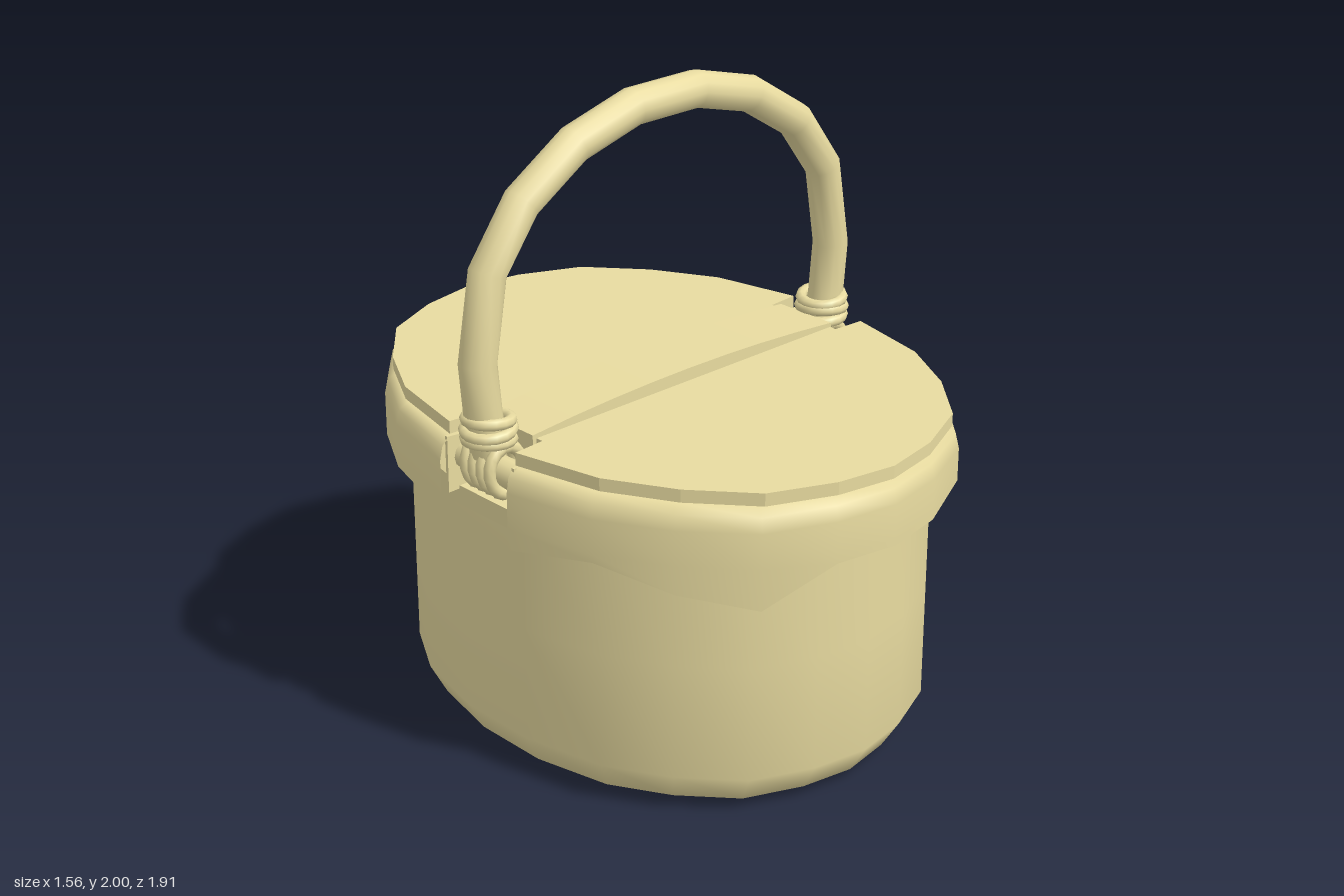
import * as THREE from 'three';

const mat = new THREE.MeshStandardMaterial({ color: 0xe8dba0, side: THREE.DoubleSide });

// Oval plan outline: one quadrant, mirrored to a full loop (front centre, then towards +x)
const quarter = [[0, 0.955], [0.2, 0.92], [0.41, 0.83], [0.57, 0.65], [0.69, 0.44], [0.755, 0.15]];
const half = [...quarter, ...quarter.slice().reverse().map(([x, z]) => [x, -z])];
const plan = [...half, ...half.slice(1, -1).reverse().map(([x, z]) => [-x, z])];
const NOTCH = [5, 16]; // columns at the handle sockets

// Cloth hem height at each plan point
const hem = [0.84, 0.84, 0.865, 0.84, 0.72, 0.785, 0.785, 0.81, 0.84, 0.825, 0.85,
  0.85, 0.73, 0.8, 0.83, 0.83, 0.8, 0.79, 0.835, 0.77, 0.73, 0.84];

function add(group, name, geometry, x = 0, y = 0, z = 0) {
  const mesh = new THREE.Mesh(geometry, mat);
  mesh.name = name;
  mesh.position.set(x, y, z);
  group.add(mesh);
  return mesh;
}

// Skin a grid of points; skip(row, column) leaves holes
function skin(rows, closed, skip = () => false) {
  const n = rows[0].length, index = [];
  for (let i = 0; i < rows.length - 1; i++) {
    for (let j = 0; j < (closed ? n : n - 1); j++) {
      if (skip(i, j)) continue;
      const k = (j + 1) % n;
      const a = i * n + j, b = i * n + k, c = a + n, d = b + n;
      index.push(a, c, d, a, d, b);
    }
  }
  const g = new THREE.BufferGeometry();
  g.setAttribute('position', new THREE.Float32BufferAttribute(rows.flat(2), 3));
  g.setIndex(index);
  g.computeVertexNormals();
  return g;
}

const ring = (s, y) => plan.map(([x, z], j) => [x * s, typeof y === 'number' ? y : y[j], z * s]);

// Round tube along an arch lying in the xy plane
function archTube(points, radius, sides) {
  const rows = points.map(([x, y], i) => {
    const p = points[Math.max(i - 1, 0)], q = points[Math.min(i + 1, points.length - 1)];
    const len = Math.hypot(q[0] - p[0], q[1] - p[1]);
    const nx = -(q[1] - p[1]) / len, ny = (q[0] - p[0]) / len;
    return Array.from({ length: sides }, (_, k) => {
      const t = (k / sides) * Math.PI * 2, c = Math.cos(t) * radius;
      return [x + nx * c, y + ny * c, -Math.sin(t) * radius];
    });
  });
  return skin(rows, true);
}

// One handle socket on the +x side: recess, pin and rope lashing
function socket() {
  const g = new THREE.Group();
  g.name = 'handleSocket';
  add(g, 'recessBack', new THREE.BoxGeometry(0.02, 0.18, 0.3), 0.59, 0.95, 0);
  add(g, 'recessFloor', new THREE.BoxGeometry(0.1, 0.02, 0.3), 0.64, 0.86, 0);
  for (const s of [-1, 1]) {
    add(g, 'recessCheek', new THREE.BoxGeometry(0.14, 0.18, 0.01), 0.66, 0.95, s * 0.15);
  }
  add(g, 'pin', new THREE.CylinderGeometry(0.045, 0.045, 0.3, 12).rotateX(Math.PI / 2), 0.66, 0.965, 0);
  // Loops around the pin
  for (const z of [-0.054, -0.018, 0.018, 0.054]) {
    const loop = add(g, 'ropeLoop', new THREE.TorusGeometry(0.062, 0.018, 8, 16), 0.675, 0.985, z);
    loop.scale.y = 1.2;
    loop.rotation.z = -0.15;
  }
  // Coils around the foot of the handle
  [[1.075, 0.06, 0.068], [1.105, -0.08, 0.07], [1.135, 0.1, 0.066]].forEach(([y, tilt, r]) => {
    const coil = add(g, 'ropeCoil', new THREE.TorusGeometry(r, 0.018, 8, 16).rotateX(Math.PI / 2), 0.692, y, 0);
    coil.rotation.set(tilt * 0.6, 0, tilt);
  });
  return g;
}

export function createModel() {
  const model = new THREE.Group();
  model.name = 'basket';

  // Oval tub with a bevelled foot
  const tub = [[0.912, 0.87], [0.912, 0.5], [0.912, 0.13], [0.85, 0.035], [0.768, 0.002], [0.74, 0], [0, 0]];
  add(model, 'body', skin(tub.map(([s, y]) => ring(s, y)), true));

  // Cloth lining folded over the rim, cut open at the two sockets
  const fold = [[0.86, 1.04], [0.955, 1.04], [0.988, 1.015], [1, 0.97], [1, 0.86]];
  const clothRows = [...fold.map(([s, y]) => ring(s, y)), ring(1, hem)];
  // keep the band above the hem from rising past the hem itself
  clothRows[4].forEach((p, j) => { p[1] = Math.max(0.86, hem[j] + 0.005); });
  add(model, 'clothLining', skin(clothRows, true, (i, j) => NOTCH.includes(j) && i < 4));

  // Two lid flaps
  const edge = quarter.map(([x, z]) => [x * 0.95, z * 0.985]);
  edge.push([0.61, 0.14], [0.61, 0.115]);
  const outline = [...edge.slice().reverse(), ...edge.slice(1).map(([x, z]) => [-x, z])];
  const flapShape = new THREE.Shape(outline.map(([x, z]) => new THREE.Vector2(x, z)));
  for (const turn of [0, Math.PI]) {
    const flap = add(model, 'lidFlap',
      new THREE.ExtrudeGeometry(flapShape, { depth: 0.04, bevelEnabled: false }).rotateX(Math.PI / 2), 0, 1.085, 0);
    flap.rotation.y = turn;
  }

  // Slightly arched bar between the flaps
  const bar = new THREE.Shape();
  bar.moveTo(-0.62, 1.04);
  bar.lineTo(0.62, 1.04);
  bar.lineTo(0.62, 1.095);
  bar.quadraticCurveTo(0, 1.15, -0.62, 1.095);
  add(model, 'lidBar', new THREE.ExtrudeGeometry(bar, { depth: 0.22, bevelEnabled: false, curveSegments: 8 }), 0, 0, -0.11);

  // Arched handle
  const side = [[0.69, 1.03], [0.71, 1.15], [0.725, 1.315], [0.68, 1.578], [0.55, 1.755], [0.35, 1.882], [0.125, 1.944]];
  const arch = [...side.map(([x, y]) => [-x, y]), ...side.slice().reverse()];
  add(model, 'handle', archTube(arch, 0.057, 12));

  // Sockets on both sides
  const left = socket(), right = socket();
  right.rotation.y = Math.PI;
  model.add(left, right);

  return model;
}
